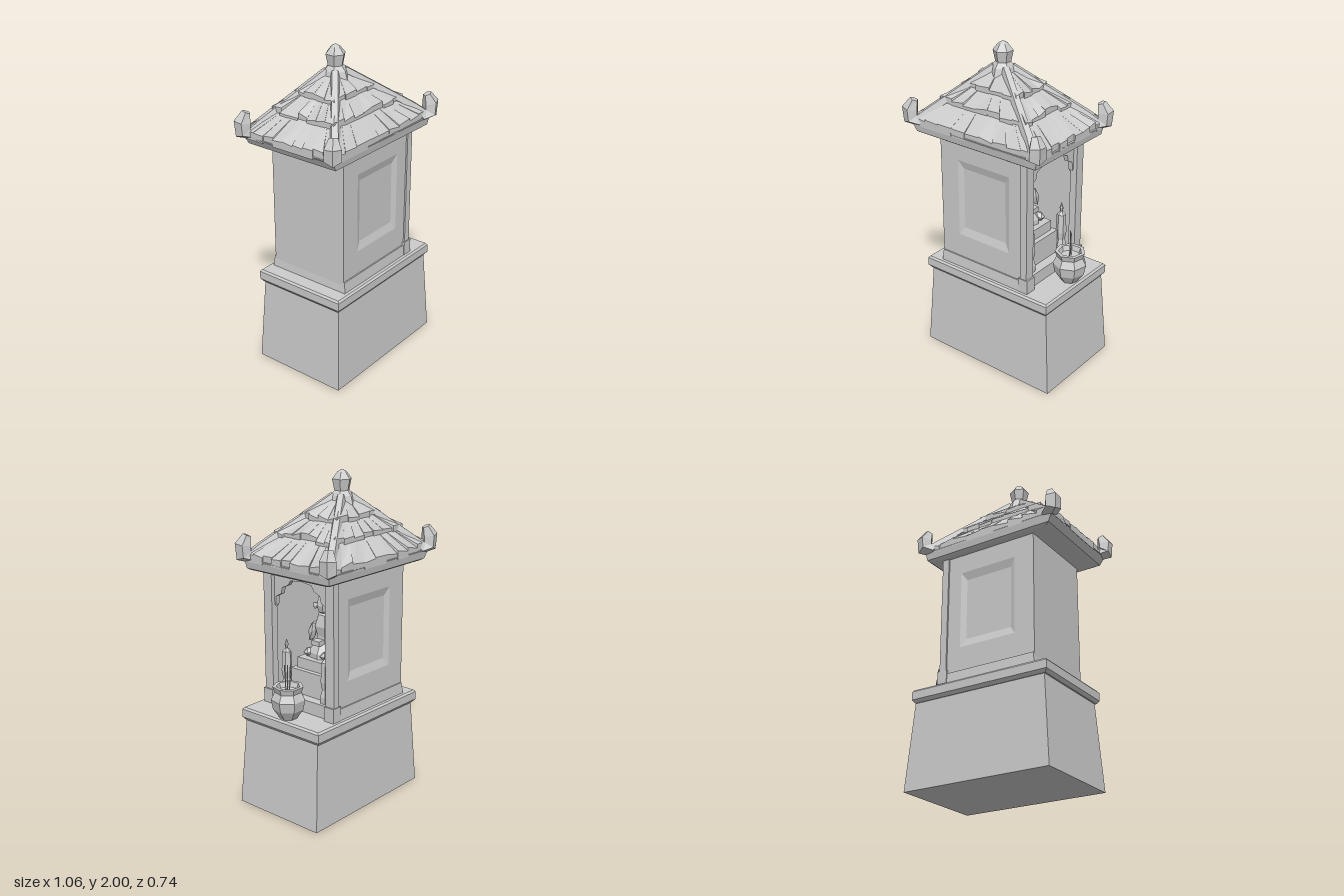
import * as THREE from 'three';
import { mergeGeometries } from 'three/addons/utils/BufferGeometryUtils.js';

const stone = new THREE.MeshStandardMaterial({ color: 0xcccccc });
stone.name = 'grey stone';

// Faceted solid through a list of equal-length rings, closed at both ends
function loft(rings) {
  const pos = [];
  const tri = (a, b, c) => pos.push(...a, ...b, ...c);
  const n = rings[0].length;
  for (let i = 0; i < rings.length - 1; i++) {
    for (let j = 0; j < n; j++) {
      const k = (j + 1) % n, a = rings[i], b = rings[i + 1];
      tri(a[j], a[k], b[k]);
      tri(a[j], b[k], b[j]);
    }
  }
  const s = rings[0], e = rings[rings.length - 1];
  for (let j = 1; j < n - 1; j++) {
    tri(s[0], s[j + 1], s[j]);
    tri(e[0], e[j], e[j + 1]);
  }
  const g = new THREE.BufferGeometry();
  g.setAttribute('position', new THREE.Float32BufferAttribute(pos, 3));
  g.computeVertexNormals();
  return g;
}
// Rectangular rings lying flat (at height y) or upright (at depth z)
const flatRing = (y, x0, x1, z) => [[x0, y, z], [x1, y, z], [x1, y, -z], [x0, y, -z]];
const uprightRing = (z, x0, x1, y0, y1) => [[x0, y0, z], [x1, y0, z], [x1, y1, z], [x0, y1, z]];

// Five-sided bar along a path lying in one vertical plane
function bar(path, radii) {
  const pts = path.map(p => new THREE.Vector3(...p));
  const d = pts[pts.length - 1].clone().sub(pts[0]);
  const side = new THREE.Vector3(-d.z, 0, d.x).normalize();
  return loft(pts.map((p, i) => {
    const t = pts[Math.min(i + 1, pts.length - 1)].clone().sub(pts[Math.max(i - 1, 0)]).normalize();
    const up = t.cross(side);
    return Array.from({ length: 5 }, (_, k) => {
      const a = Math.PI / 2 + k * Math.PI * 0.4;
      return p.clone().addScaledVector(side, Math.cos(a) * radii[i])
        .addScaledVector(up, Math.sin(a) * radii[i]).toArray();
    });
  }));
}

function lathe(profile, sides) {
  const g = new THREE.LatheGeometry(profile.map(p => new THREE.Vector2(...p)), sides).toNonIndexed();
  g.computeVertexNormals();
  return g;
}

let seed = 7;
const rand = () => (seed = (seed * 16807) % 2147483647) / 2147483647;

export function createModel() {
  const model = new THREE.Group();
  const facet = stone.clone();
  facet.flatShading = true;
  const add = (name, geo, x = 0, y = 0, z = 0) => {
    const m = new THREE.Mesh(geo, facet);
    m.name = name;
    m.position.set(x, y, z);
    model.add(m);
    return m;
  };
  const box = (name, x0, x1, y0, y1, z0, z1) => add(name,
    new THREE.BoxGeometry(x1 - x0, y1 - y0, z1 - z0), (x0 + x1) / 2, (y0 + y1) / 2, (z0 + z1) / 2);

  // Tapered pedestal and its overhanging slab
  add('pedestal', loft([flatRing(0, -0.43, 0.52, 0.31), flatRing(0.54, -0.395, 0.48, 0.285)]));
  add('pedestalSlab', loft([
    flatRing(0.53, -0.405, 0.48, 0.29), flatRing(0.55, -0.42, 0.495, 0.305),
    flatRing(0.6, -0.42, 0.495, 0.305), flatRing(0.612, -0.41, 0.485, 0.295),
  ]));

  // Side walls with a shallow sunken panel, closed back, open at +x
  for (const s of [1, -1]) {
    const wall = add('sideWall', loft([
      uprightRing(0.22, -0.305, 0.305, 0.61, 1.45), uprightRing(0.262, -0.305, 0.305, 0.61, 1.45),
      uprightRing(0.262, -0.19, 0.19, 0.83, 1.32), uprightRing(0.248, -0.155, 0.155, 0.88, 1.27),
    ]));
    if (s < 0) wall.rotation.y = Math.PI;
    box('doorPost', 0.28, 0.325, 0.61, 1.44, s * 0.24 - 0.032, s * 0.24 + 0.032);
    box('postFoot', 0.27, 0.335, 0.61, 0.7, s * 0.242 - 0.036, s * 0.242 + 0.036);
  }
  box('backWall', -0.32, -0.24, 0.61, 1.45, -0.262, 0.262);
  add('wallPlinth', loft([flatRing(0.61, -0.325, 0.3, 0.276), flatRing(0.68, -0.318, 0.3, 0.27)]));
  box('floorStep', -0.25, 0.31, 0.61, 0.69, -0.21, 0.21);
  box('topBeam', 0.27, 0.32, 1.41, 1.45, -0.26, 0.26);

  // Scalloped brackets in the upper corners of the doorway
  const bracket = new THREE.Shape();
  [[0.22, 1.2], [0.2, 1.23], [0.195, 1.28], [0.155, 1.3], [0.145, 1.34], [0.1, 1.36], [0.08, 1.39],
    [0, 1.4], [0, 1.43], [0.22, 1.43]].forEach(([x, y], i) => i ? bracket.lineTo(x, y) : bracket.moveTo(x, y));
  const bracketGeo = new THREE.ExtrudeGeometry(bracket, { depth: 0.03, bevelEnabled: false });
  for (const s of [1, -1]) {
    const b = add('doorBracket', bracketGeo, s > 0 ? 0.3 : 0.27, 0, 0);
    b.rotation.y = -s * Math.PI / 2;
  }

  // Arched frame on the rear wall of the niche
  const frame = new THREE.Shape([[-0.22, 0.69], [0.22, 0.69], [0.22, 1.44], [-0.22, 1.44]]
    .map(p => new THREE.Vector2(...p)));
  frame.holes.push(new THREE.Path([[-0.18, 0.72], [-0.18, 1.26], [-0.13, 1.32], [-0.07, 1.35], [0.07, 1.35],
    [0.13, 1.32], [0.18, 1.26], [0.18, 0.72]].map(p => new THREE.Vector2(...p))));
  add('nicheFrame', new THREE.ExtrudeGeometry(frame, { depth: 0.03, bevelEnabled: false }), -0.24)
    .rotation.y = Math.PI / 2;

  // Stepped altar
  box('altarBase', -0.02, 0.25, 0.69, 0.84, -0.13, 0.13);
  box('altarTop', 0, 0.22, 0.84, 0.905, -0.105, 0.105);

  // Seated figure facing +x
  const figure = new THREE.Group();
  figure.name = 'seatedFigure';
  figure.position.set(0.1, 0.9, 0);
  const part = (name, geo, x, y, z, sx = 1, sy = 1, sz = 1) => {
    const m = new THREE.Mesh(geo, facet);
    m.name = name;
    m.position.set(x, y, z);
    m.scale.set(sx, sy, sz);
    figure.add(m);
    return m;
  };
  part('robeSkirt', lathe([[0, 0], [0.1, 0], [0.1, 0.035], [0.06, 0.09], [0, 0.11]], 7), 0, 0, 0, 0.9);
  part('torso', lathe([[0, 0.05], [0.06, 0.06], [0.055, 0.13], [0.075, 0.19], [0.05, 0.26], [0, 0.29]], 6), -0.01, 0, 0, 0.75);
  part('head', lathe([[0, 0.26], [0.032, 0.28], [0.044, 0.32], [0.036, 0.36], [0.03, 0.38], [0, 0.395]], 6), 0, 0, 0);
  for (const s of [1, -1]) {
    const d = new THREE.IcosahedronGeometry(1, 0);
    part('knee', d, 0.05, 0.03, s * 0.065, 0.05, 0.03, 0.035);
    part('arm', d, 0.015, 0.15, s * 0.075, 0.03, 0.075, 0.026).rotation.x = -s * 0.25;
    part('earOrnament', d, 0, 0.305, s * 0.065, 0.014, 0.022, 0.024);
  }
  part('hands', new THREE.BoxGeometry(0.05, 0.03, 0.06), 0.055, 0.1, 0);
  model.add(figure);

  // Candles either side of the altar
  const candle = lathe([[0, 0.69], [0.034, 0.69], [0.036, 0.73], [0.024, 0.77], [0.033, 0.82],
    [0.028, 0.94], [0.008, 0.96], [0.012, 0.985], [0, 1.02]], 6);
  for (const s of [1, -1]) add('candle', candle, 0.26, 0, s * 0.156);

  // Incense pot and sticks on the slab
  add('incensePot', lathe([[0, 0.612], [0.05, 0.612], [0.09, 0.67], [0.102, 0.73], [0.08, 0.775],
    [0.092, 0.81], [0.07, 0.81], [0.06, 0.78], [0, 0.775]], 7), 0.43, 0, -0.015);
  for (let i = 0; i < 3; i++) {
    add('incenseStick', new THREE.CylinderGeometry(0.004, 0.004, 0.17, 4), 0.425 + i * 0.007, 0.85, -0.025 + i * 0.012)
      .rotation.z = (1 - i) * 0.06;
  }

  // Flared eave slab and roof core
  const cx = -0.06, x0 = -0.485, x1 = 0.425, zr = 0.325;
  add('eaves', loft([
    flatRing(1.44, -0.43, 0.4, 0.3), flatRing(1.45, -0.455, 0.415, 0.315),
    flatRing(1.505, x0, x1, zr), flatRing(1.51, x0 + 0.02, x1 - 0.02, zr - 0.02),
  ]));
  const low = flatRing(1.5, x0, x1, zr), high = flatRing(1.83, cx - 0.06, cx + 0.06, 0.045);
  add('roofCore', loft([low, high]));

  // Three rows of uneven tiles on each slope
  const mix = (a, b, t) => a.map((v, i) => v + (b[i] - v) * t);
  const rows = [[0, 0.4, 9], [0.37, 0.69, 7], [0.66, 0.97, 4]];
  for (let s = 0; s < 4; s++) {
    const e = (s + 1) % 4, tiles = [];
    const at = (u, t, lift) => {
      const p = mix(mix(low[s], high[s], t), mix(low[e], high[e], t), u);
      p[1] += lift;
      return p;
    };
    for (const [t0, t1, n] of rows) {
      for (let i = 0; i < n; i++) {
        const a = i / n, b = (i + 1) / n, t = Math.max(0, t0 + (rand() - 0.5) * 0.05);
        const la = 0.022 + rand() * 0.025, lb = 0.022 + rand() * 0.025;
        tiles.push(loft([
          [at(a, t, -0.01), at(b, t, -0.01), at(b, t1, -0.01), at(a, t1, -0.01)],
          [at(a, t, la), at(b, t, lb), at(b, t1, 0.006), at(a, t1, 0.006)],
        ]));
      }
    }
    add('roofTiles', mergeGeometries(tiles));
  }

  // Hip ridges ending in upturned knobs
  for (const sx of [-1, 1]) for (const sz of [-1, 1]) {
    const ex = sx > 0 ? 0.415 : -0.475;
    add('hipRidge', bar([
      [cx + sx * 0.04, 1.845, sz * 0.028], [ex - sx * 0.08, 1.575, sz * 0.262],
      [ex - sx * 0.025, 1.515, sz * 0.3], [ex + sx * 0.012, 1.53, sz * 0.322],
      [ex + sx * 0.015, 1.59, sz * 0.324], [ex - sx * 0.005, 1.645, sz * 0.312],
    ], [0.028, 0.032, 0.045, 0.052, 0.05, 0.026]));
  }

  // Gem-shaped finial at the peak
  add('finialCollar', lathe([[0, 1.79], [0.085, 1.8], [0.07, 1.85], [0.045, 1.88], [0, 1.88]], 6), cx);
  add('finial', lathe([[0, 1.85], [0.042, 1.86], [0.06, 1.945], [0.028, 1.985], [0, 2]], 6), cx);
  return model;
}
